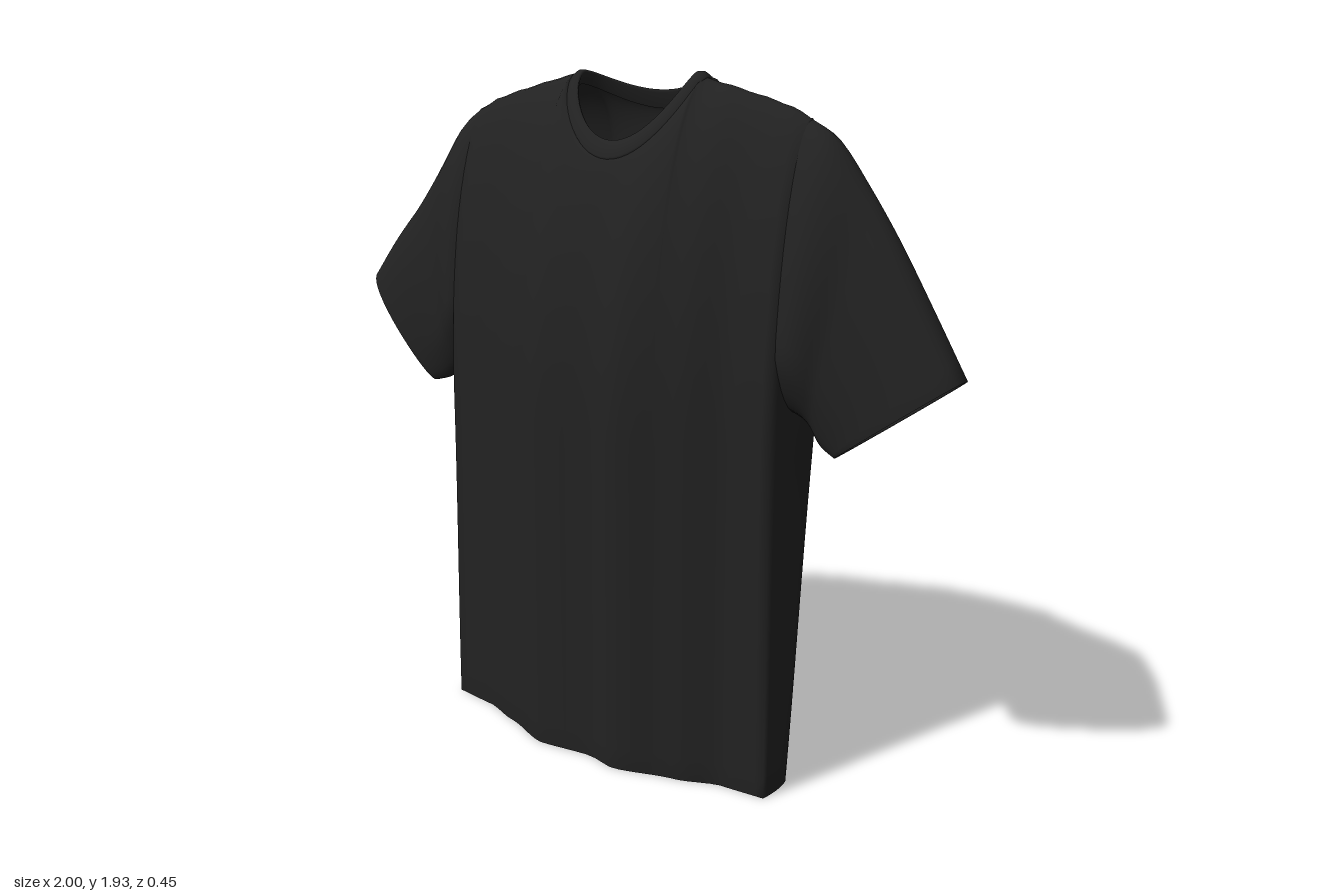
import * as THREE from 'three';
import { mergeVertices } from 'three/addons/utils/BufferGeometryUtils.js';

const { lerp, clamp, smoothstep } = THREE.MathUtils;

// Smooth look-up in a short table of [key, value] pairs
function table(pairs, x) {
  if (x <= pairs[0][0]) return pairs[0][1];
  for (let i = 1; i < pairs.length; i++) {
    const [a, va] = pairs[i - 1], [b, vb] = pairs[i];
    if (x <= b) return lerp(va, vb, lerp((x - a) / (b - a), smoothstep(x, a, b), 0.5));
  }
  return pairs[pairs.length - 1][1];
}

// Smooth skin over rows of points; each row is a closed loop
function skin(rows, flip = false) {
  const n = rows[0].length, index = [];
  for (let j = 0; j < rows.length - 1; j++) {
    for (let i = 0; i < n; i++) {
      const k = (i + 1) % n;
      const a = j * n + i, b = j * n + k, c = a + n, d = b + n;
      if (flip) index.push(a, d, b, a, c, d);
      else index.push(a, b, d, a, d, c);
    }
  }
  const g = new THREE.BufferGeometry();
  g.setAttribute('position', new THREE.Float32BufferAttribute(rows.flat(2), 3));
  g.setIndex(index);
  const merged = mergeVertices(g, 1e-4);
  merged.computeVertexNormals();
  return merged;
}

// Cloth depth across the chest and back, and height of the shoulder line
const FRONT = [[-0.57, 0.11], [-0.42, 0.128], [-0.3, 0.17], [-0.14, 0.228], [0.03, 0.205],
  [0.12, 0.225], [0.3, 0.17], [0.42, 0.122], [0.57, 0.11]];
const BACK = [[-0.57, -0.115], [-0.43, -0.135], [-0.3, -0.195], [-0.2, -0.225], [0, -0.212],
  [0.2, -0.225], [0.3, -0.195], [0.43, -0.135], [0.57, -0.115]];
const SHOULDER = [[0.2, 1.918], [0.3, 1.895], [0.4, 1.87], [0.5, 1.842], [0.56, 1.812]];
const LEFT_X = 0.55, RIGHT_X = -0.563, RIDGE_Z = -0.045, NECK_X = 0.015, NECK_R = 0.22;

// Neckline and shoulder ridge where the cloth ends at x
function topEdge(x, front) {
  const k = (x - NECK_X) / NECK_R;
  if (Math.abs(k) >= 0.9999) return { y: table(SHOULDER, Math.abs(x)), z: RIDGE_Z, s: 0 };
  const s = Math.sqrt(1 - k * k);
  return front ? { y: 1.915 - 0.215 * s ** 1.6, z: RIDGE_Z + 0.145 * s, s }
    : { y: 1.915 - 0.085 * s ** 1.8, z: RIDGE_Z - 0.135 * s, s };
}

function clothZ(x, y, front) {
  const top = topEdge(x, front);
  const base = table(front ? FRONT : BACK, x);
  const start = front ? 1.0 : 1.3;
  const t = clamp((y - start) / (top.y - start), 0, 1);
  const f = front ? Math.pow(1 - t * t, lerp(0.6, 0.85, top.s)) : Math.sqrt(1 - t ** 4);
  // the left back corner of the hem swings forward
  const swing = front ? 0 : 0.11 * smoothstep(x, 0.4, 0.55) * clamp(1 - y, 0, 1);
  return lerp(top.z, base, f) + swing;
}

function bodyGeometry() {
  // Columns run round the torso: front, left side, back, right side
  const xs = [];
  for (let i = 0; i < 12; i++) xs.push(lerp(RIGHT_X, NECK_X - NECK_R, i / 12));
  for (let i = 0; i < 20; i++) xs.push(NECK_X - NECK_R * Math.cos(Math.PI * i / 20));
  for (let i = 0; i <= 12; i++) xs.push(lerp(NECK_X + NECK_R, LEFT_X, i / 12));
  const columns = [];
  const sheet = (list, front) => list.forEach(x => columns.push({
    top: topEdge(x, front).y, at: y => [x, clothZ(x, y, front)] }));
  const side = (x) => {
    const sign = Math.sign(x);
    for (let i = 1; i < 8; i++) {
      const s = sign * (1 - i / 4);
      columns.push({
        top: topEdge(x, true).y,
        at: y => [x + sign * 0.006 * (1 - s * s),
          lerp(clothZ(x, y, false), clothZ(x, y, true), (s + 1) / 2)]
      });
    }
  };
  sheet(xs, true);
  side(LEFT_X);
  sheet([...xs].reverse(), false);
  side(RIGHT_X);

  const row = (t, scale, lift) => columns.map(c => {
    const y = t * c.top, [x, z] = c.at(y);
    const flare = 1 + 0.014 * (1 - smoothstep(y, 0, 0.9));
    return [x * flare * scale, y + lift, z * scale];
  });
  // Closed underside, rounded hem, then the cloth up to the shoulders
  const rows = [row(0, 0, 0.022), row(0, 0.5, 0.022), row(0, 0.95, 0.022),
    row(0, 0.965, 0.016), row(0, 0.98, 0.002)];
  const N = 44;
  for (let j = 0; j <= N; j++) rows.push(row(1 - Math.pow(1 - j / N, 1.5), 1, 0));
  return skin(rows);
}

// Sleeve lofted from the armhole to the cuff, between an upper and a lower line
function sleeveGeometry(sideX, cuffTopZ, upper, lower) {
  const sign = Math.sign(sideX);
  const curve = pts => new THREE.CatmullRomCurve3(pts.map(p => new THREE.Vector3(p[0], p[1], 0)));
  const hi = curve(upper), lo = curve(lower);
  const N = 18, M = 40, rows = [];
  const ring = (v, inset, back) => {
    const t = hi.getPoint(v), b = lo.getPoint(v), loop = [];
    const y0 = lower[0][1], y1 = upper[0][1];
    for (let i = 0; i < M; i++) {
      const a = 2 * Math.PI * i / M, sin = Math.sin(a) * inset;
      const h = 0.5 + 0.5 * Math.cos(a) * inset;
      // armhole depth follows the edge of the torso
      const ry = lerp(y0, y1, h);
      const close = Math.sqrt(Math.min(1, (ry - y0) / 0.16));
      const edge = clothZ(sideX, ry, sin >= 0);
      const rootZ = lerp(-0.01, edge, close);
      // cuff is wide above and narrow below
      const full = Math.sign(sin) * Math.abs(sin) ** 0.75;
      const cuffZ = lerp(0.02, cuffTopZ, h) + lerp(0.04, 0.072, h) * full;
      const puff = 0.018 * Math.sin(Math.PI * Math.min(1, v * 2.2)) * sin;
      loop.push([sign * (lerp(b.x, t.x, h) - back), lerp(b.y, t.y, h) + back * 0.7,
        lerp(rootZ, cuffZ, smoothstep(v, -0.25, 1.1)) + puff]);
    }
    return loop;
  };
  for (let j = 0; j <= N; j++) rows.push(ring(j / N, 1, 0));
  // turned-in cuff
  rows.push(ring(1, 0.95, 0.003), ring(1, 0.93, 0.05));
  return skin(rows, sign < 0);
}

// Ribbed neckband: outer edge, rolled top, inner facing
function collarGeometry() {
  const ring = (r, zf, zb, peak, df, db) => Array.from({ length: 64 }, (_, i) => {
    const a = -2 * Math.PI * i / 64, s = Math.sin(a), front = s > 0;
    const drop = front ? df * s ** 1.6 : db * Math.abs(s) ** 1.8;
    return [NECK_X + r * Math.cos(a), peak - drop, RIDGE_Z + (front ? zf : zb) * s];
  });
  return skin([
    ring(0.222, 0.145, 0.135, 1.908, 0.212, 0.082),
    ring(0.223, 0.149, 0.139, 1.916, 0.212, 0.08),
    ring(0.207, 0.137, 0.122, 1.927, 0.198, 0.063),
    ring(0.192, 0.124, 0.106, 1.927, 0.18, 0.053),
    ring(0.187, 0.12, 0.103, 1.92, 0.178, 0.055),
    ring(0.2, 0.132, 0.122, 1.888, 0.19, 0.066)
  ]);
}

export function createModel() {
  const group = new THREE.Group();
  group.name = 'tShirt';
  const cloth = new THREE.MeshStandardMaterial({ color: 0x222222, side: THREE.DoubleSide });
  cloth.name = 'blackCotton';
  const add = (name, geometry) => {
    const mesh = new THREE.Mesh(geometry, cloth);
    mesh.name = name;
    group.add(mesh);
  };
  add('body', bodyGeometry());
  add('collar', collarGeometry());
  add('leftSleeve', sleeveGeometry(LEFT_X, -0.05,
    [[0.545, 1.818], [0.62, 1.775], [0.71, 1.665], [0.8, 1.535], [0.9, 1.37], [1.0, 1.2]],
    [[0.545, 1.07], [0.6, 1.05], [0.645, 0.995], [0.69, 0.97]]));
  add('rightSleeve', sleeveGeometry(RIGHT_X, -0.025,
    [[0.558, 1.815], [0.61, 1.775], [0.7, 1.655], [0.8, 1.525], [0.9, 1.415], [1.0, 1.29]],
    [[0.558, 1.07], [0.6, 1.045], [0.66, 1.0], [0.72, 0.98]]));
  return group;
}
